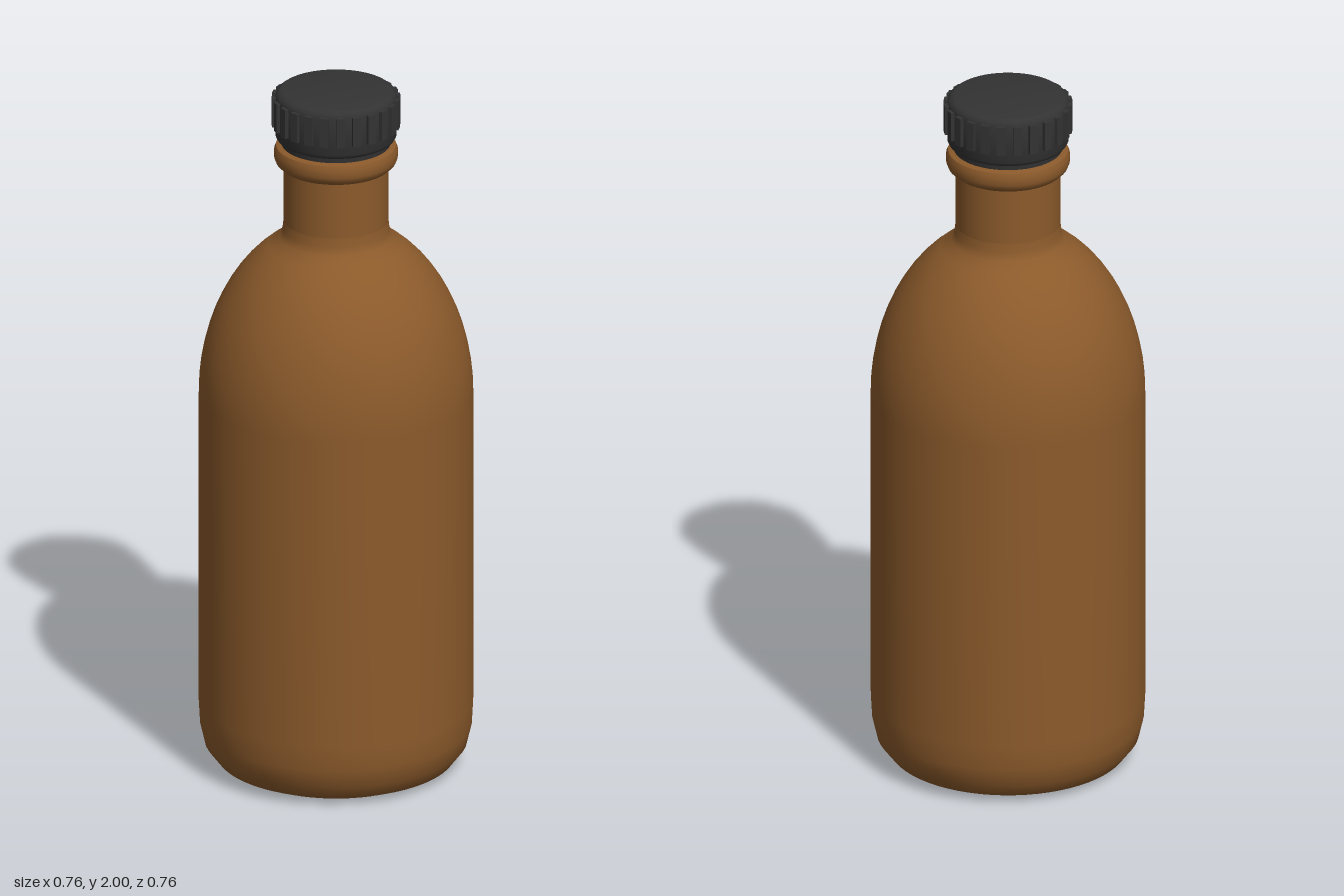
import * as THREE from 'three';
import { toCreasedNormals } from 'three/addons/utils/BufferGeometryUtils.js';

const amberGlass = new THREE.MeshStandardMaterial({ color: 0x8b5a2b });
amberGlass.name = 'amberGlass';
const blackPlastic = new THREE.MeshStandardMaterial({ color: 0x333333 });
blackPlastic.name = 'blackPlastic';

// Surface of revolution from [radius, height] pairs, bottom to top
function lathe(name, points, material, crease) {
  const geometry = new THREE.LatheGeometry(points.map(([r, y]) => new THREE.Vector2(r, y)), 64);
  const mesh = new THREE.Mesh(crease ? toCreasedNormals(geometry, crease) : geometry, material);
  mesh.name = name;
  return mesh;
}

export function createModel() {
  const model = new THREE.Group();
  model.name = 'bottle';

  // Body: flat base, rounded heel, straight wall and elliptical shoulder
  const body = [[0, 0], [0.28, 0], [0.33, 0.022], [0.363, 0.065], [0.376, 0.12], [0.38, 0.19], [0.38, 0.65]];
  for (let i = 0; i <= 12; i++) {
    const t = (i / 12) * 1.15;
    body.push([0.38 * Math.cos(t), 1.1 + 0.51 * Math.sin(t)]);
  }
  // Small flare from shoulder into neck
  body.push([0.148, 1.59], [0.145, 1.615]);
  model.add(lathe('body', body, amberGlass));

  model.add(lathe('neck', [[0.145, 1.61], [0.145, 1.79]], amberGlass));

  // Collar ring below the cap
  model.add(lathe('collar', [
    [0.14, 1.775], [0.153, 1.778], [0.166, 1.79], [0.171, 1.803], [0.171, 1.826],
    [0.166, 1.838], [0.15, 1.842], [0.13, 1.842],
  ], amberGlass, 0.8));

  // Screw cap with a narrow foot, a band and a softened top edge
  const cap = new THREE.Group();
  cap.name = 'cap';
  cap.add(lathe('capShell', [
    [0, 1.838], [0.15, 1.838], [0.152, 1.855], [0.163, 1.861], [0.168, 1.87], [0.168, 1.98],
    [0.165, 1.991], [0.156, 1.998], [0.148, 2], [0, 2],
  ], blackPlastic, 0.7));

  // Grip ribs around the cap
  const ribGeometry = new THREE.BoxGeometry(0.024, 0.085, 0.014);
  for (let i = 0; i < 24; i++) {
    const angle = (i / 24) * Math.PI * 2;
    const rib = new THREE.Mesh(ribGeometry, blackPlastic);
    rib.name = 'gripRib';
    rib.position.set(Math.sin(angle) * 0.171, 1.94, Math.cos(angle) * 0.171);
    rib.rotation.y = angle;
    cap.add(rib);
  }
  model.add(cap);
  return model;
}
